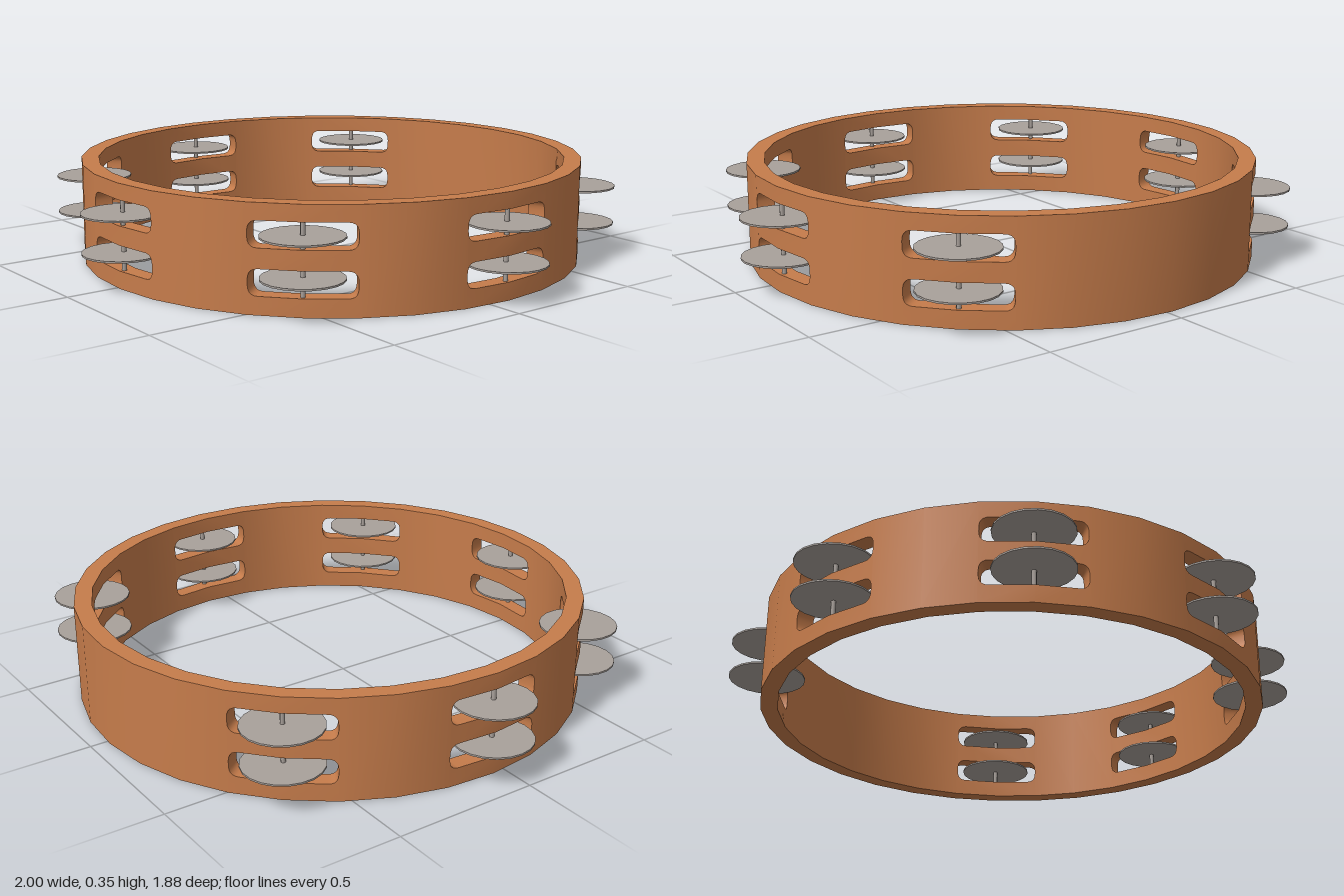
import * as THREE from 'three';
import { toCreasedNormals } from 'three/addons/utils/BufferGeometryUtils.js';

const OUTER = 0.88, INNER = 0.82, HEIGHT = 0.35;
const SIDES = 32, STEP = (Math.PI * 2) / SIDES;
const SLOTS = [[0.06, 0.145], [0.21, 0.295]]; // bottom and top of each slot row
const JINGLE_Y = [0.12, 0.25];
const STATIONS = [0, 1, 2, 3, 5, 6, 7]; // eighths of the ring; the back one is the plain grip

// One flat facet of the wall, u = 0..1 across; slotted facets have half slots open at u = 0
function facetShape(slotted, mirrored) {
  const m = (u) => (mirrored ? 1 - u : u);
  const s = new THREE.Shape();
  s.moveTo(m(0), 0);
  s.lineTo(m(1), 0);
  s.lineTo(m(1), HEIGHT);
  s.lineTo(m(0), HEIGHT);
  if (slotted) {
    const end = 0.985, ru = 0.19, ry = 0.034;
    for (const [low, high] of [...SLOTS].reverse()) {
      s.lineTo(m(0), high);
      s.lineTo(m(end - ru), high);
      s.quadraticCurveTo(m(end), high, m(end), high - ry);
      s.lineTo(m(end), low + ry);
      s.quadraticCurveTo(m(end), low, m(end - ru), low);
      s.lineTo(m(0), low);
    }
  }
  s.closePath();
  return s;
}

// Wrap every extruded facet onto the ring, leaving out the hidden joints between facets
function frameGeometry() {
  const out = [];
  for (let k = 0; k < SIDES; k++) {
    const startsSlot = k % 4 === 0 && STATIONS.includes(k / 4);
    const endsSlot = (k + 1) % 4 === 0 && STATIONS.includes(((k + 1) / 4) % 8);
    const shape = facetShape(startsSlot || endsSlot, endsSlot);
    let geo = new THREE.ExtrudeGeometry(shape, { depth: 1, bevelEnabled: false, curveSegments: 5 });
    if (geo.index) geo = geo.toNonIndexed();
    const p = geo.attributes.position;
    const a = k * STEP, b = a + STEP;
    for (let i = 0; i < p.count; i += 3) {
      const us = [p.getX(i), p.getX(i + 1), p.getX(i + 2)];
      if (us.every((u) => u < 1e-5) || us.every((u) => u > 1 - 1e-5)) continue;
      for (let j = 0; j < 3; j++) {
        const u = us[j];
        const r = THREE.MathUtils.lerp(INNER, OUTER, p.getZ(i + j));
        out.push(
          r * THREE.MathUtils.lerp(Math.sin(a), Math.sin(b), u),
          p.getY(i + j),
          r * THREE.MathUtils.lerp(Math.cos(a), Math.cos(b), u)
        );
      }
    }
  }
  const geo = new THREE.BufferGeometry();
  geo.setAttribute('position', new THREE.Float32BufferAttribute(out, 3));
  return toCreasedNormals(geo, Math.PI / 6);
}

export function createModel() {
  const wood = new THREE.MeshStandardMaterial({ color: 0xc67c4b });
  wood.name = 'wood';
  const metal = new THREE.MeshStandardMaterial({ color: 0xa9a19b });
  metal.name = 'metal';

  const model = new THREE.Group();
  model.name = 'tambourine';

  // Slotted wooden hoop
  const frame = new THREE.Mesh(frameGeometry(), wood);
  frame.name = 'frame';
  model.add(frame);

  // Two discs on one pin at each station
  const discGeo = new THREE.CylinderGeometry(0.133, 0.133, 0.006, 20);
  const pinGeo = new THREE.CylinderGeometry(0.008, 0.008, 0.26, 8);
  for (const n of STATIONS) {
    const station = new THREE.Group();
    station.name = 'jinglePair';
    station.rotation.y = n * 4 * STEP;
    for (const y of JINGLE_Y) {
      const disc = new THREE.Mesh(discGeo, metal);
      disc.name = 'jingle';
      disc.position.set(0, y, 0.866);
      station.add(disc);
    }
    const pin = new THREE.Mesh(pinGeo, metal);
    pin.name = 'pin';
    pin.position.set(0, 0.178, 0.862);
    station.add(pin);
    model.add(station);
  }

  // Slight turn, and shift to centre the overall outline
  model.rotation.y = THREE.MathUtils.degToRad(1.2);
  model.position.z = -0.06;

  const root = new THREE.Group();
  root.name = 'model';
  root.add(model);
  return root;
}
